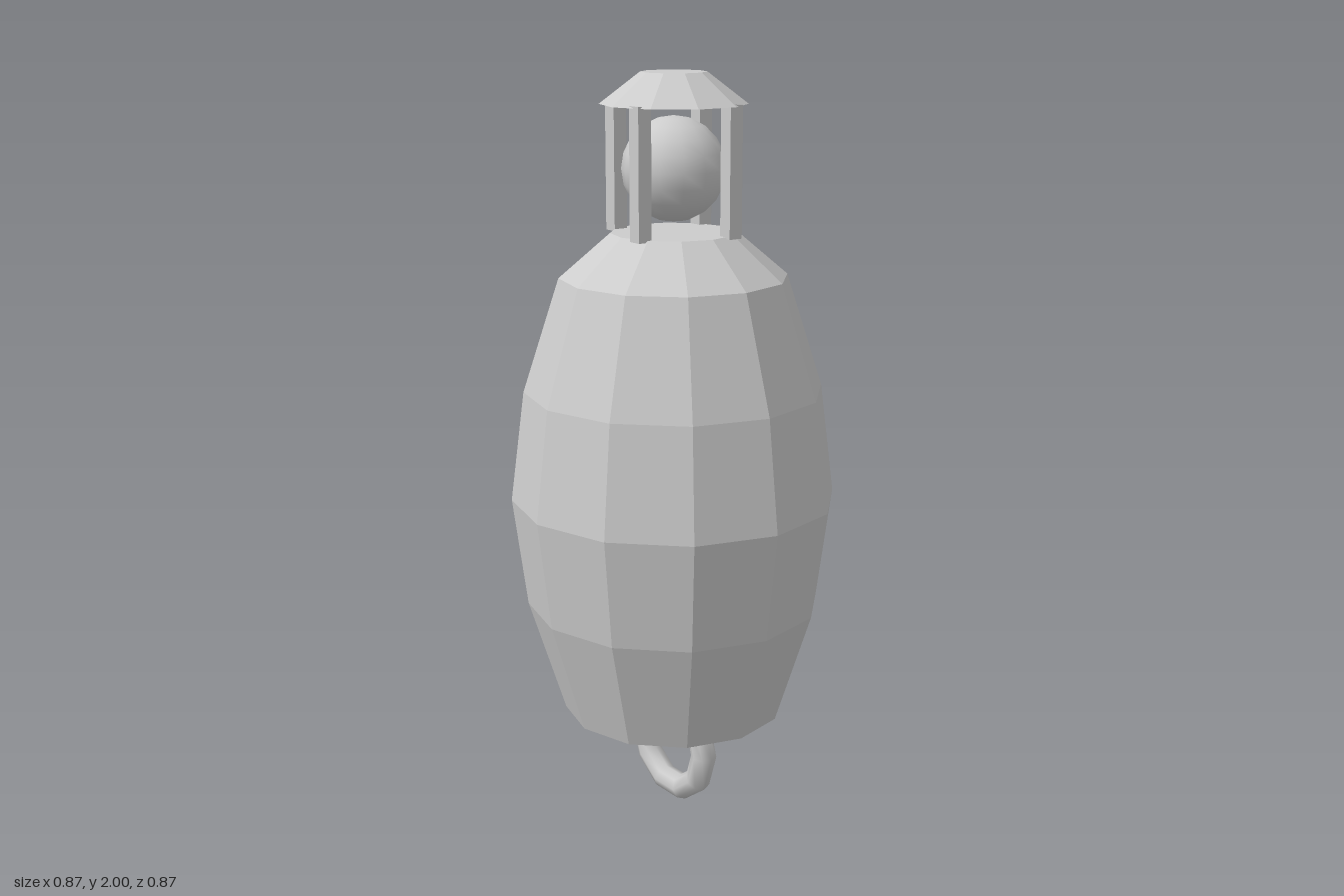
import * as THREE from 'three';

export function createModel() {
  const model = new THREE.Group();
  const flatGrey = new THREE.MeshStandardMaterial({ color: 0xcccccc });
  flatGrey.name = 'light grey';

  const add = (name, geometry, x = 0, y = 0, z = 0) => {
    const mesh = new THREE.Mesh(geometry, flatGrey);
    mesh.name = name;
    mesh.position.set(x, y, z);
    model.add(mesh);
    return mesh;
  };

  // Give a low-poly geometry one normal per face
  const faceted = (geometry) => {
    const flat = geometry.toNonIndexed();
    flat.computeVertexNormals();
    return flat;
  };

  // Twelve-sided barrel body, closed at both ends
  const profile = [
    [0, 0.28], [0.3, 0.28], [0.397, 0.59], [0.435, 0.885],
    [0.397, 1.18], [0.3, 1.48], [0.165, 1.595], [0, 1.595],
  ].map(([r, y]) => new THREE.Vector2(r, y));
  add('body', faceted(new THREE.LatheGeometry(profile, 12)));

  // Ten-sided cap over the lantern
  add('cap', faceted(new THREE.CylinderGeometry(0.085, 0.19, 0.08, 10)), 0, 1.96, 0);

  // Four square posts, turned a little off the main axes
  const posts = [[0.063, 0.15], [0.149, -0.07], [-0.077, -0.148], [-0.147, 0.077]];
  for (const [x, z] of posts) {
    add('post', new THREE.BoxGeometry(0.039, 0.335, 0.039), x, 1.7575, z);
  }

  // Smooth lamp ball between the posts
  add('lampBall', new THREE.SphereGeometry(0.135, 14, 10), 0, 1.757, 0);

  // Hanging ring under the body
  add('ring', new THREE.TorusGeometry(0.138, 0.035, 8, 10), 0, 0.165, 0);

  return model;
}
